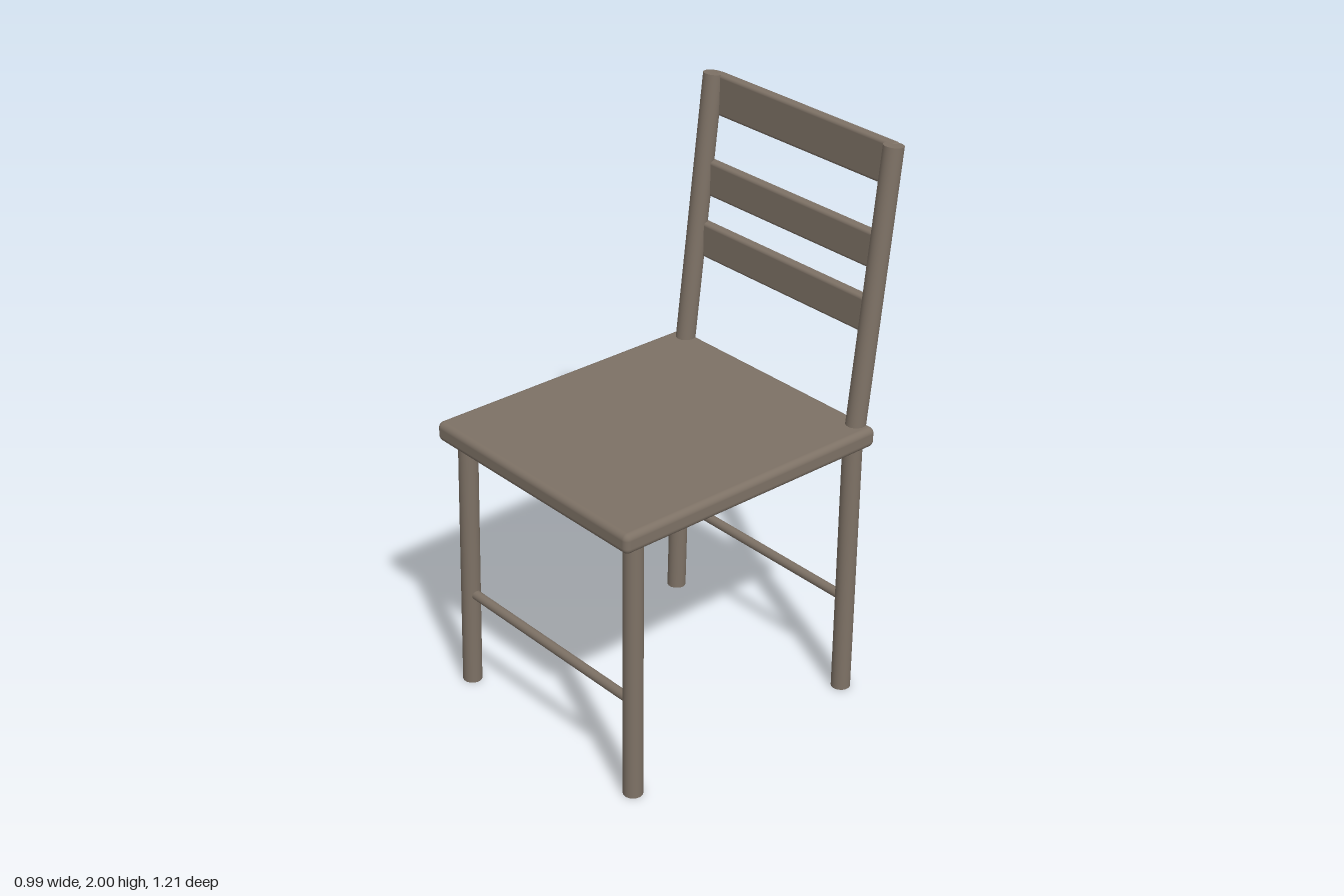
import * as THREE from 'three';
import { RoundedBoxGeometry } from 'three/addons/geometries/RoundedBoxGeometry.js';

export function createModel() {
  const chair = new THREE.Group();
  chair.name = 'chair';
  const wood = new THREE.MeshStandardMaterial({ color: 0x7d7165 });
  wood.name = 'greyBrownWood';

  function add(name, geometry) {
    const mesh = new THREE.Mesh(geometry, wood);
    mesh.name = name;
    chair.add(mesh);
    return mesh;
  }

  // Round bar running between two points
  function rod(name, from, to, radius) {
    const a = new THREE.Vector3(...from);
    const b = new THREE.Vector3(...to);
    const axis = b.clone().sub(a);
    const mesh = add(name, new THREE.CylinderGeometry(radius, radius, axis.length(), 32));
    mesh.position.copy(a).add(b).multiplyScalar(0.5);
    mesh.quaternion.setFromUnitVectors(new THREE.Vector3(0, 1, 0), axis.normalize());
  }

  // Box with softened edges
  function board(name, size, position, radius) {
    add(name, new RoundedBoxGeometry(...size, 4, radius)).position.set(...position);
  }

  // Seat
  board('seat', [0.99, 0.072, 1.083], [0, 0.997, 0.061], 0.022);

  // Legs and back posts, mirrored left and right
  for (const [side, s] of [['left', 1], ['right', -1]]) {
    rod(side + 'FrontLeg', [s * 0.441, 0.001, 0.54], [s * 0.431, 0.98, 0.521], 0.034);
    rod(side + 'BackLeg', [s * 0.441, 0.001, -0.414], [s * 0.431, 0.98, -0.436], 0.034);
    rod(side + 'BackPost', [s * 0.431, 1.0, -0.443], [s * 0.431, 1.996, -0.568], 0.035);
  }

  // Stretchers between the legs
  rod('frontStretcher', [-0.435, 0.36, 0.533], [0.435, 0.36, 0.533], 0.017);
  rod('backStretcher', [-0.435, 0.36, -0.422], [0.435, 0.36, -0.422], 0.017);

  // Upright back slats, stepped to follow the lean of the posts
  const slats = [
    ['topSlat', 1.845, 1.997, -0.586],
    ['middleSlat', 1.558, 1.69, -0.546],
    ['lowerSlat', 1.337, 1.468, -0.517],
  ];
  for (const [name, low, high, z] of slats) {
    board(name, [0.86, high - low, 0.037], [0, (low + high) / 2, z], 0.012);
  }

  return chair;
}
